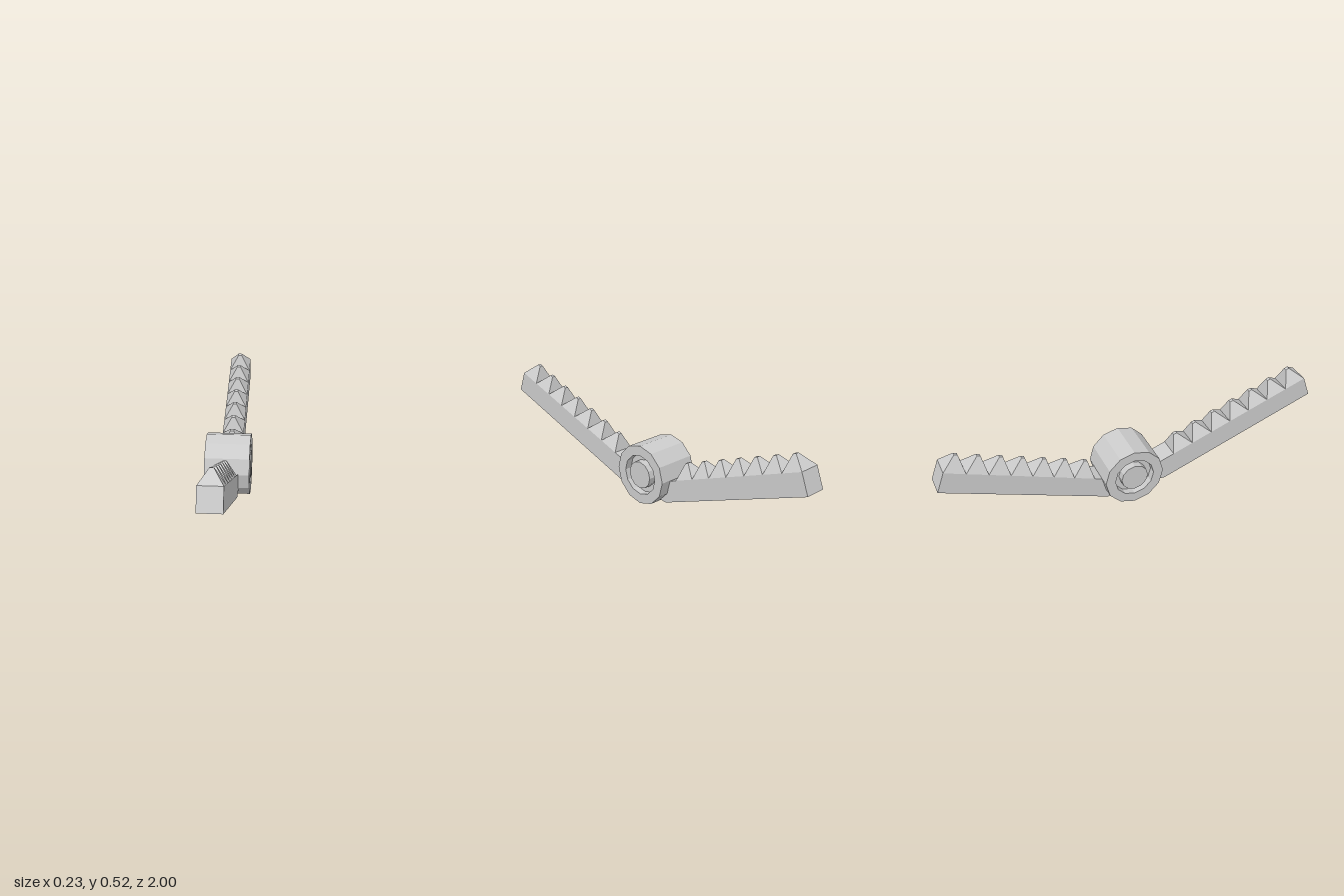
import * as THREE from 'three';

const material = new THREE.MeshStandardMaterial({ color: 0xcccccc, flatShading: true });
const WIDTH = 0.113; // square section of an arm, also the tooth pitch
const TILT = THREE.MathUtils.degToRad(20.1);
const TEETH = 7;
const TOOTH_HEIGHT = 0.073;

function addMesh(parent, name, geometry) {
  const mesh = new THREE.Mesh(geometry, material);
  mesh.name = name;
  parent.add(mesh);
  return mesh;
}

// An arm rising outward along +z; heel is where its underside bends into the hub
function createArm(name, tipY, heel, root) {
  const arm = new THREE.Group();
  arm.name = name;
  const c = Math.cos(TILT), s = Math.sin(TILT);
  // point at distance u inward from the tip and v above the underside: [z, y]
  const at = (u, v) => [1 - c * u - s * v, tipY - s * u + c * v];

  // Bar: side profile extruded across x
  const profile = [at(0, 0), at(0, WIDTH), at(0.96, WIDTH), root, heel];
  const shape = new THREE.Shape(profile.map(([z, y]) => new THREE.Vector2(z, y)));
  const bar = new THREE.ExtrudeGeometry(shape, { depth: WIDTH, bevelEnabled: false });
  bar.translate(0, 0, -WIDTH / 2).rotateY(-Math.PI / 2);
  addMesh(arm, 'bar', bar);

  // Row of blunt pyramid teeth
  const tooth = new THREE.CylinderGeometry(
    0.009 * Math.SQRT2, (WIDTH / 2) * Math.SQRT2, TOOTH_HEIGHT, 4);
  tooth.rotateY(Math.PI / 4);
  for (let i = 0; i < TEETH; i++) {
    const [z, y] = at((i + 0.5) * WIDTH, WIDTH + TOOTH_HEIGHT / 2);
    const mesh = addMesh(arm, 'tooth', tooth);
    mesh.position.set(0, y, z);
    mesh.rotation.x = -TILT;
  }
  return arm;
}

// Twelve-sided hub with a ring groove and a central pin on both ends
function createHub() {
  const end = [[0, 0.115], [0.071, 0.115], [0.071, 0.075], [0.104, 0.075], [0.104, 0.113], [0.156, 0.113]];
  const points = [
    ...end.map(([r, x]) => new THREE.Vector2(r, -x)),
    ...end.reverse().map(([r, x]) => new THREE.Vector2(r, x)),
  ];
  const hub = new THREE.Group();
  hub.name = 'hub';
  addMesh(hub, 'hubBarrel', new THREE.LatheGeometry(points, 12).rotateZ(Math.PI / 2));
  hub.position.set(0, 0.156, -0.024);
  return hub;
}

export function createModel() {
  const model = new THREE.Group();
  model.name = 'hingedJaw';
  model.add(createHub());
  model.add(createArm('frontArm', 0.358, [0.17, 0.052], [0.06, 0.056]));
  const backArm = createArm('backArm', 0.332, [0.15, 0.026], [0.07, 0.038]);
  backArm.rotation.y = Math.PI;
  model.add(backArm);
  return model;
}
